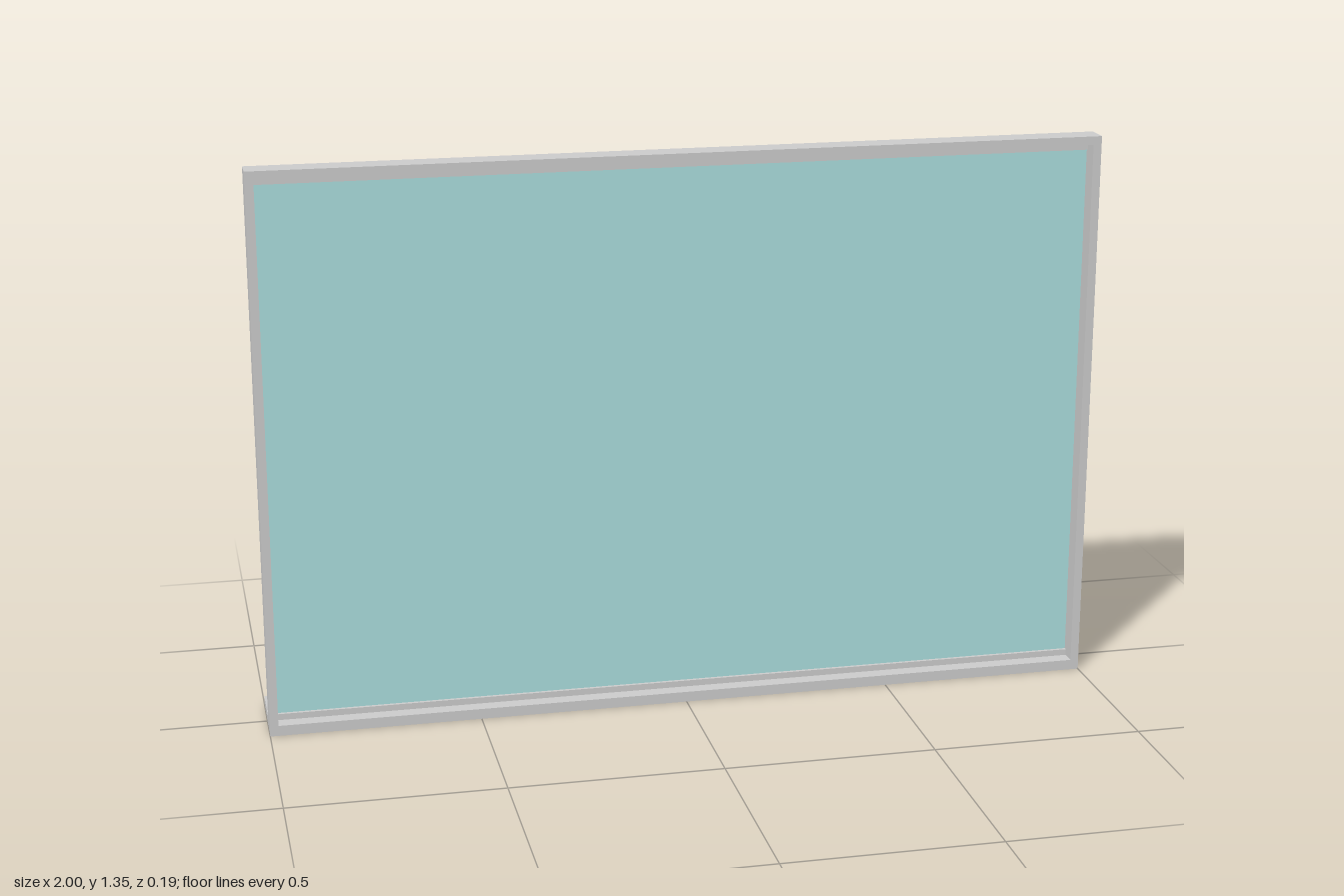
import * as THREE from 'three';

export function createModel() {
  const model = new THREE.Group();
  const grey = new THREE.MeshStandardMaterial({ color: 0xcccccc });
  const tint = new THREE.MeshStandardMaterial({ color: 0xaadddd });

  const W = 2, H = 1.345;            // overall size
  const back = 0.033, front = 0.095; // frame depth range
  const side = 0.02, rail = 0.025;   // jamb width, bottom rail height

  // box given by its minimum and maximum corners
  function box(name, material, [x0, y0, z0], [x1, y1, z1]) {
    const mesh = new THREE.Mesh(new THREE.BoxGeometry(x1 - x0, y1 - y0, z1 - z0), material);
    mesh.position.set((x0 + x1) / 2, (y0 + y1) / 2, (z0 + z1) / 2);
    mesh.name = name;
    model.add(mesh);
  }

  // outer frame: one rectangular ring
  const ix = W / 2 - side;
  const outline = new THREE.Shape([
    new THREE.Vector2(-W / 2, 0), new THREE.Vector2(W / 2, 0),
    new THREE.Vector2(W / 2, H), new THREE.Vector2(-W / 2, H),
  ]);
  outline.holes.push(new THREE.Path([
    new THREE.Vector2(-ix, rail), new THREE.Vector2(-ix, H - side),
    new THREE.Vector2(ix, H - side), new THREE.Vector2(ix, rail),
  ]));
  const frame = new THREE.Mesh(
    new THREE.ExtrudeGeometry(outline, { depth: front - back, bevelEnabled: false }), grey);
  frame.position.z = back;
  frame.name = 'outerFrame';
  model.add(frame);

  // sill projecting behind the frame
  box('sill', grey, [-W / 2, 0, -0.095], [W / 2, rail, back]);

  // recessed stops above and below the pane, flush with the back
  box('bottomStop', grey, [-ix, rail, back], [ix, 0.04, 0.06]);
  box('topStop', grey, [-ix, 1.307, back], [ix, H - side, 0.06]);

  // glass pane
  box('glassPane', tint, [-ix, 0.04, 0.044], [ix, 1.307, 0.052]);

  return model;
}
